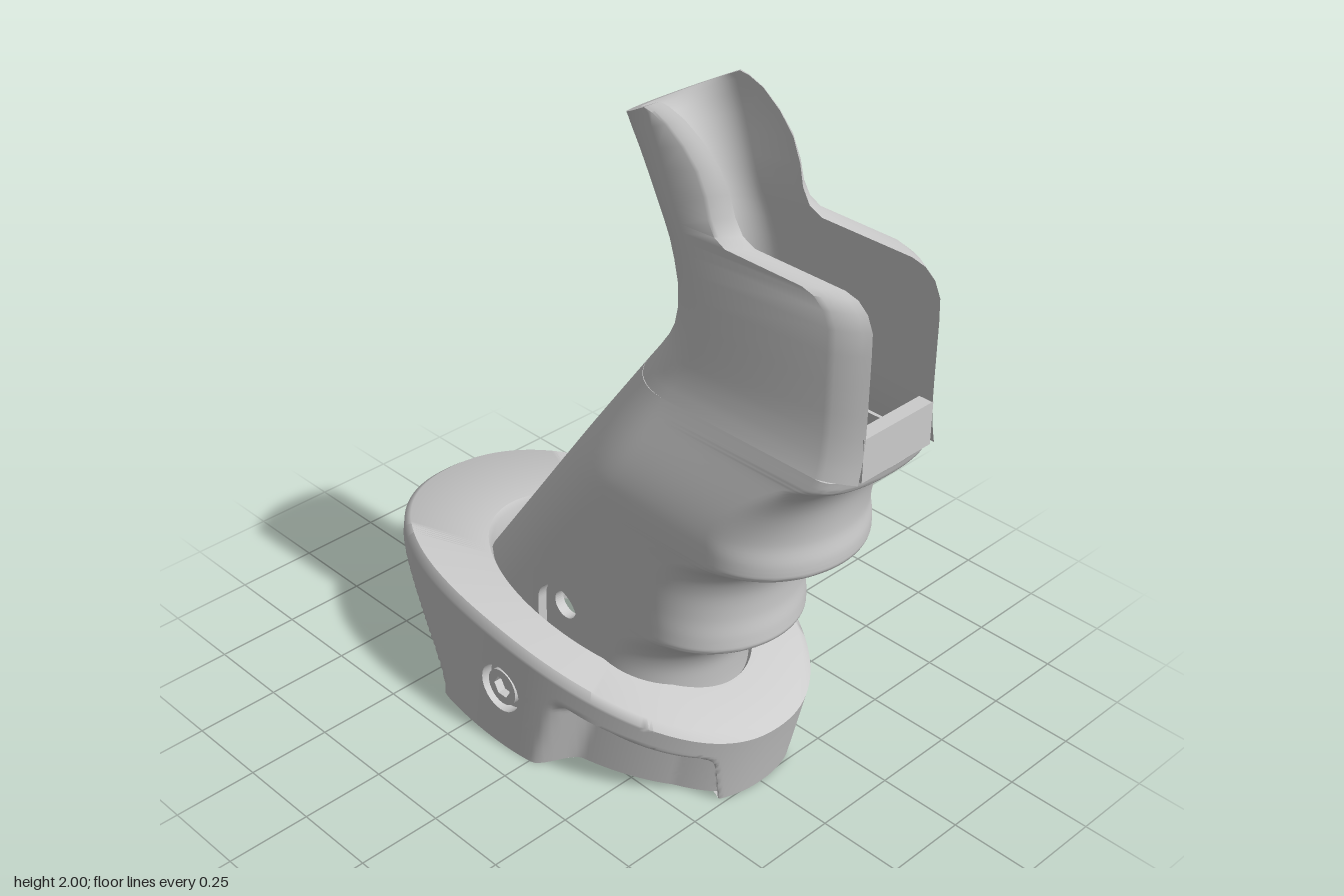
import * as THREE from 'three';
import { toCreasedNormals } from 'three/addons/utils/BufferGeometryUtils.js';

const grey = new THREE.MeshStandardMaterial({ color: 0xcccccc });
const greyDouble = new THREE.MeshStandardMaterial({ color: 0xcccccc, side: THREE.DoubleSide });
const { clamp, smoothstep, lerp } = THREE.MathUtils;

function add(parent, name, geometry, material = grey) {
  const mesh = new THREE.Mesh(geometry, material);
  mesh.name = name;
  parent.add(mesh);
  return mesh;
}

// Skin rows of [x, y, z] points; skip(r, c) leaves a quad open
function loft(rows, { closed = true, wrap = true, skip = () => false, crease = 0.7 } = {}) {
  const R = rows.length, C = rows[0].length, index = [];
  for (let r = 0; r < (wrap ? R : R - 1); r++) {
    for (let c = 0; c < (closed ? C : C - 1); c++) {
      if (skip(r, c)) continue;
      const r2 = (r + 1) % R, c2 = (c + 1) % C;
      const a = r * C + c, b = r * C + c2, d = r2 * C + c2, e = r2 * C + c;
      index.push(a, b, d, a, d, e);
    }
  }
  const g = new THREE.BufferGeometry();
  g.setAttribute('position', new THREE.Float32BufferAttribute(rows.flat(2), 3));
  g.setIndex(index);
  return toCreasedNormals(g, crease);
}

// Half width of the grip at height y
const halfWidth = y => 0.25 + 0.008 * smoothstep(y, 0.55, 0.9)
  - 0.088 * smoothstep(y, 0.92, 1.38) - 0.006 * smoothstep(y, 1.5, 1.9);

// ---- Hollow lower grip with finger grooves
const NF = 16, NB = 14, WALL = 0.06;
const CELL = { front: 0.05, back: -0.14 };
function gripLoop(y, zf, inner) {
  const up = smoothstep(y, 0.95, 1.23), power = lerp(1, 0.85, up);
  let hw = halfWidth(y), fd = lerp(0.23, 0.09, up);
  let zb = Math.max(0.19 - (1.34 - y) * 0.715, -0.505), bd = hw * 0.96;
  if (inner) { hw -= WALL; zf -= 0.03; fd *= 0.85; zb += WALL; bd -= WALL; }
  const half = [], lo = zb + bd;
  for (let i = 0; i <= NF; i++) {
    const a = i / NF * Math.PI / 2;
    half.push([hw * Math.sin(a) ** power, y, zf - fd + fd * Math.max(0, Math.cos(a)) ** power]);
  }
  half.push([hw, y, Math.max(CELL.front, lo + 0.04)], [hw, y, Math.max(CELL.back, lo + 0.02)]);
  for (let i = 0; i <= NB; i++) {
    const a = i / NB * Math.PI / 2;
    half.push([hw * Math.cos(a), y, lo - bd * Math.sin(a)]);
  }
  half[half.length - 1][0] = 0;
  return [...half, ...half.slice(1, -1).reverse().map(([x, py, z]) => [-x, py, z])];
}

function buildLowerGrip(group) {
  const front = new THREE.CatmullRomCurve3([[0.36, 0.12], [0.365, 0.3], [0.38, 0.39], [0.42, 0.455],
    [0.5, 0.51], [0.555, 0.535], [0.557, 0.57], [0.55, 0.64], [0.56, 0.73], [0.6, 0.8], [0.69, 0.85],
    [0.755, 0.875], [0.76, 0.91], [0.752, 0.98], [0.77, 1.09], [0.82, 1.17], [0.885, 1.205], [0.9, 1.24],
  ].map(([z, y]) => new THREE.Vector3(0, y, z)), false, 'centripetal').getPoints(102);
  const outer = front.map(p => gripLoop(p.y, p.z, false));
  const inner = front.map(p => gripLoop(p.y, p.z, true)).reverse();
  const rows = [...outer, ...inner], total = rows[0].length;
  const inCell = front.map(p => p.y).filter(y => y >= 0.2 && y <= 0.53);
  const y0 = inCell[0], y1 = inCell[inCell.length - 1];
  const skip = (r, c) => {
    const my = (rows[r][0][1] + rows[(r + 1) % rows.length][0][1]) / 2;
    return my > y0 && my < y1 && (c === NF + 1 || c === total - NF - 2);
  };
  add(group, 'gripShell', loft(rows, { skip }), greyDouble);

  // Side panels: recessed slot outside, round through hole inside
  for (const s of [1, -1]) {
    const panel = (name, x0, depth, hole) => {
      const shape = new THREE.Shape([[CELL.front, y0], [CELL.back, y0], [CELL.back, y1], [CELL.front, y1]]
        .map(([z, y]) => new THREE.Vector2(-s * z, y)));
      shape.holes.push(hole);
      const m = add(group, name, new THREE.ExtrudeGeometry(shape,
        { depth, bevelEnabled: false, curveSegments: 20 }));
      m.rotation.y = s * Math.PI / 2;
      m.position.x = s * x0;
    };
    const cx = s * 0.045;
    const slot = new THREE.Path();
    slot.absarc(cx, 0.425, 0.08, 0, Math.PI, false);
    slot.absarc(cx, 0.32, 0.08, Math.PI, 2 * Math.PI, false);
    panel('slotPanel', 0.22, 0.03, slot);
    panel('holePanel', 0.19, 0.03, new THREE.Path().absarc(cx, 0.43, 0.042, 0, Math.PI * 2));
  }

  // Floor of the grip with openings
  const floor = new THREE.Shape().absellipse(0, -0.06, 0.215, 0.41, 0, Math.PI * 2);
  floor.holes.push(new THREE.Path().absellipse(0, 0.14, 0.13, 0.11, 0, Math.PI * 2),
    new THREE.Path().absellipse(0, -0.29, 0.13, 0.11, 0, Math.PI * 2),
    new THREE.Path([[-0.06, -0.12], [0.06, -0.12], [0.06, -0.03], [-0.06, -0.03]]
      .map(p => new THREE.Vector2(...p))));
  const f = add(group, 'gripFloor', new THREE.ExtrudeGeometry(floor,
    { depth: 0.06, bevelEnabled: false, curveSegments: 32 }).rotateX(Math.PI / 2));
  f.position.y = 0.18;
}

// ---- Open upper grip: two cheeks joined by a curved back, ending in a tang
function buildUpperGrip(group) {
  // back y, back z, front y, front z
  const levels = [[1.24, 0.118, 1.24, 0.9], [1.27, 0.14, 1.27, 0.9], [1.3, 0.162, 1.3, 0.9],
    [1.35, 0.196, 1.36, 0.9], [1.4, 0.22, 1.42, 0.9], [1.46, 0.233, 1.5, 0.9], [1.53, 0.232, 1.58, 0.9],
    [1.6, 0.216, 1.64, 0.898], [1.65, 0.2, 1.68, 0.88], [1.68, 0.186, 1.705, 0.85],
    [1.69, 0.181, 1.715, 0.81], [1.7, 0.176, 1.717, 0.53], [1.72, 0.165, 1.735, 0.49],
    [1.75, 0.148, 1.775, 0.465], [1.78, 0.13, 1.83, 0.45], [1.81, 0.11, 1.89, 0.42],
    [1.84, 0.09, 1.94, 0.37], [1.87, 0.068, 1.98, 0.31], [1.89, 0.055, 1.997, 0.26], [1.905, 0.053, 2, 0.23]];
  const NC = 5;
  const loop = ([yb, zb, yf, zf], inner) => {
    const hw = halfWidth(yb), c = hw - lerp(0.05, 0.028, smoothstep(yb, 1.72, 1.9));
    const ch = Math.min(0.09, (zf - zb) * 0.14), w = inner ? c : hw, back = inner ? zb + 0.045 : zb;
    const lo = Math.min(zb + hw, zf - ch - 0.005), half = [];
    // Tapered front edge of the cheek
    for (let i = 0; i <= NC; i++) {
      const t = i / NC;
      half.push(inner ? [c, zf - 0.0002 * i] : [lerp(c, hw, t * (1.4 - 0.4 * t)), zf - ch * t]);
    }
    for (let i = 0; i <= NB; i++) {
      const a = i / NB * Math.PI / 2;
      half.push([w * Math.cos(a), lo - (lo - back) * Math.sin(a)]);
    }
    half[half.length - 1][0] = 0;
    return [...half, ...half.slice(0, -1).reverse().map(([x, z]) => [-x, z])]
      .map(([x, z]) => [x, lerp(yb, yf, (z - zb) / (zf - zb)), z]);
  };
  const rows = [...levels.map(l => loop(l, false)), ...levels.map(l => loop(l, true)).reverse()];
  add(group, 'upperGrip', loft(rows, { closed: false }), greyDouble);
  add(group, 'frontLip', new THREE.BoxGeometry(0.25, 0.12, 0.04)).position.set(0, 1.3, 0.879);
}

// ---- Base collar with scalloped sides
const TAIL = { z: -0.77, y: 0.23, r: 0.058 }, SCREW = { z: -0.105, y: 0.21, r: 0.075 };
const EXP = 2.2;
const topY = z => 0.39 - 0.17 * z - 0.15 * z * z;
const bottomY = z => 0.005 + 0.22 * Math.max(0, -z) ** 2;
const scallop = (z, y) => {
  const e = (v, w) => smoothstep(v, 0, w);
  const front = e(z - 0.01 - 0.3 * y, 0.08) * e(0.19 + (0.49 - z) * 0.23 - y, 0.05) * e(0.485 + 0.1 * y - z, 0.04);
  const rear = e(0.37 - 2.2 * (z + 0.72) ** 2 - y, 0.07) * e(z + 0.87, 0.05) * e(-0.36 - z, 0.08);
  return 0.1 * front + 0.08 * rear;
};
function collarX(z, y) {
  const t = clamp((y - bottomY(z)) / (topY(z) - bottomY(z)), 0, 1);
  const u = Math.min(1, Math.abs(z + 0.06 * (1 - t) + 0.13) / 0.7);
  const x = 0.42 * (1 - u ** EXP) ** (1 / EXP);
  return x - Math.min(scallop(z, y), x * 0.35);
}

function buildCollar(group) {
  const N = 30, COLS = 280, rows = [], inside = [];
  const ring = fn => Array.from({ length: COLS }, (_, i) => fn(i / COLS * Math.PI * 2, i));
  for (let r = 0; r <= N; r++) {
    const t = r / N * 0.94;
    inside.push([]);
    rows.push(ring((a, i) => {
      const ca = Math.cos(a), sa = Math.sin(a);
      let z = -0.13 + 0.7 * Math.sign(ca) * Math.abs(ca) ** (2 / EXP) - 0.06 * (1 - t);
      let y = lerp(bottomY(z), topY(z), t);
      // Points within a hole move out to its rim
      for (const h of [TAIL, SCREW]) {
        const d = Math.hypot(z - h.z, y - h.y);
        if (d >= h.r) continue;
        inside[r][i] = true;
        const k = h.r / Math.max(d, 1e-4);
        z = h.z + (z - h.z) * k;
        y = h.y + (y - h.y) * k;
      }
      const side = Math.abs(sa) < 1e-6 ? 0 : Math.sign(sa);
      return [side * collarX(z, y), y, z];
    }));
  }
  // Rounded top edge, then the oval opening
  rows.push(rows[N].map(([x, , z]) => {
    const z2 = -0.13 + (z + 0.13) * 0.965;
    return [x * 0.965, topY(z2), z2];
  }));
  const opening = (hx, hz, h) => ring(a => {
    const z = -0.065 + hz * Math.cos(a);
    return [hx * Math.sin(a), h(z), z];
  });
  rows.push(opening(0.28, 0.46, topY), opening(0.27, 0.45, z => topY(z) - 0.02),
    opening(0.27, 0.45, z => bottomY(z) + 0.05), opening(0.3, 0.48, bottomY));
  const skip = (r, c) => {
    const c2 = (c + 1) % COLS;
    return r < N && inside[r][c] && inside[r][c2] && inside[r + 1][c] && inside[r + 1][c2];
  };
  add(group, 'baseCollar', loft(rows, { skip, crease: 0.85 }));

  // Bores: through the tail, and a shallow seat for each screw
  const rim = (h, xAt) => Array.from({ length: 48 }, (_, i) => {
    const a = i / 48 * Math.PI * 2, z = h.z + h.r * Math.cos(a), y = h.y + h.r * Math.sin(a);
    return [xAt(z, y), y, z];
  });
  add(group, 'tailBore', loft([rim(TAIL, collarX), rim(TAIL, (z, y) => -collarX(z, y))],
    { wrap: false }), greyDouble);

  // Hex socket screws
  const head = new THREE.Shape().absarc(0, 0, 0.056, 0, Math.PI * 2);
  head.holes.push(new THREE.Path(Array.from({ length: 6 }, (_, i) =>
    new THREE.Vector2(0.033 * Math.cos(i * Math.PI / 3), 0.033 * Math.sin(i * Math.PI / 3)))));
  for (const s of [1, -1]) {
    add(group, 'screwSeat', loft([rim(SCREW, (z, y) => s * collarX(z, y)), rim(SCREW, () => s * 0.385)],
      { wrap: false }), greyDouble);
    const screw = new THREE.Group();
    screw.name = 'screw';
    add(screw, 'seatFloor', new THREE.CircleGeometry(0.076, 32));
    add(screw, 'screwHead', new THREE.ExtrudeGeometry(head,
      { depth: 0.025, bevelEnabled: false, curveSegments: 24 }));
    screw.position.set(s * 0.386, SCREW.y, SCREW.z);
    screw.rotation.y = s * Math.PI / 2;
    group.add(screw);
  }
  const pin = add(group, 'crossPin', new THREE.CylinderGeometry(0.03, 0.03, 0.7, 24));
  pin.rotation.z = Math.PI / 2;
  pin.position.set(0, SCREW.y, SCREW.z);
}

export function createModel() {
  const model = new THREE.Group();
  model.name = 'gripWithCollar';
  buildLowerGrip(model);
  buildUpperGrip(model);
  buildCollar(model);
  return model;
}
